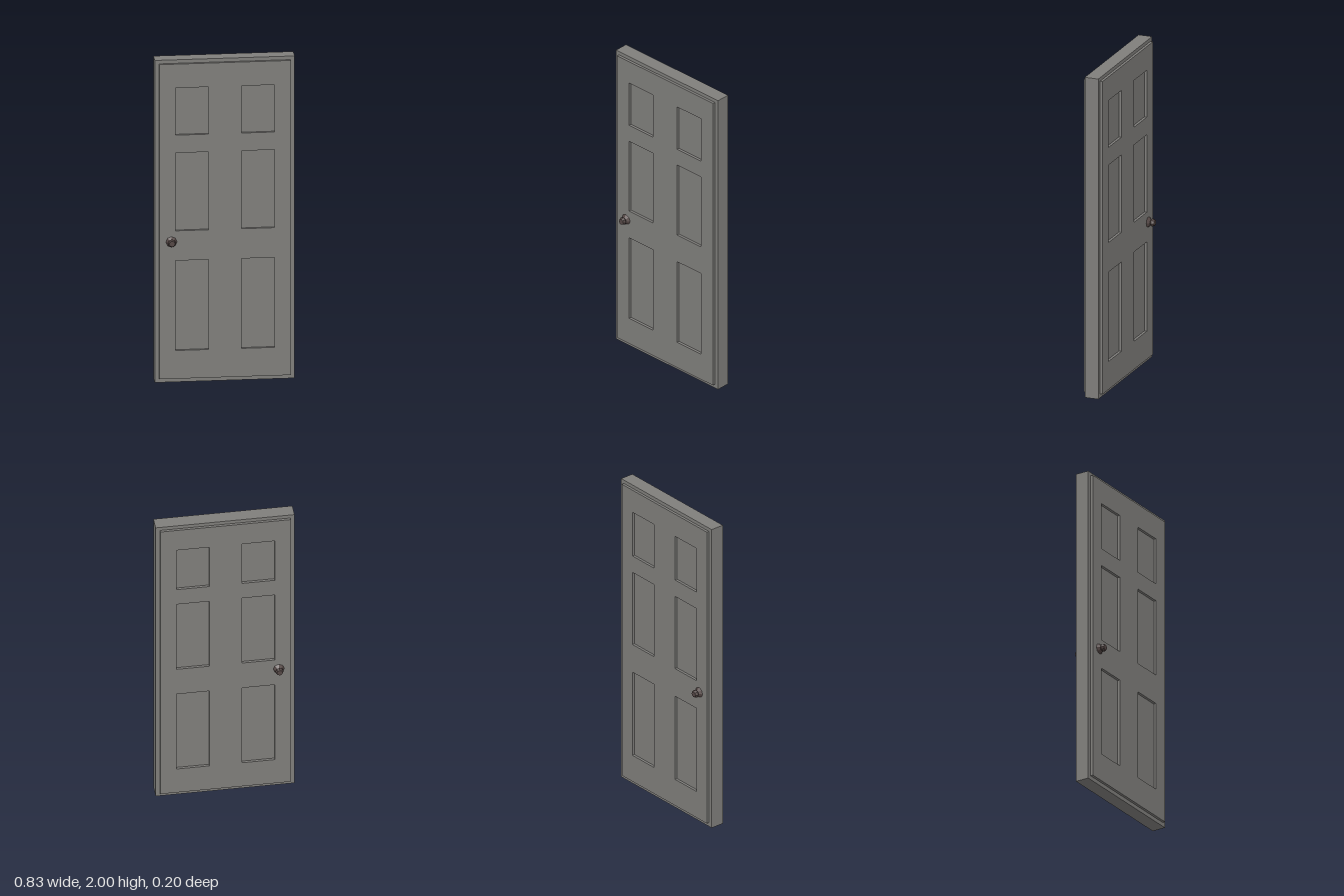
import * as THREE from 'three';

const SLAB_Z = 0.043; // half thickness of the slab
const FACE_Z = 0.059; // outer surface of the raised facing

export function createModel() {
  const door = new THREE.Group();
  door.name = 'panelDoor';

  const grey = new THREE.MeshStandardMaterial({ color: 0x7f7e7b });
  grey.name = 'grey paint';
  const bronze = new THREE.MeshStandardMaterial({ color: 0x54474a, flatShading: true });
  bronze.name = 'dark bronze';
  bronze.color.set(0x544745);

  const add = (parent, name, geometry, material) => {
    const mesh = new THREE.Mesh(geometry, material);
    mesh.name = name;
    parent.add(mesh);
    return mesh;
  };

  // Core slab; its surface is also the floor of the recessed panels
  add(door, 'slab', new THREE.BoxGeometry(0.83, 2, SLAB_Z * 2), grey).position.y = 1;

  // Raised facing with six panel openings
  const rectangle = (Type, x0, y0, x1, y1) => new Type([
    new THREE.Vector2(x0, y0), new THREE.Vector2(x1, y0),
    new THREE.Vector2(x1, y1), new THREE.Vector2(x0, y1),
  ]);
  const outline = rectangle(THREE.Shape, -0.39, 0.025, 0.39, 1.978);
  const rows = [[0.2, 0.758], [0.943, 1.427], [1.537, 1.83]];
  for (const [bottom, top] of rows) {
    for (const left of [-0.294, 0.097]) {
      outline.holes.push(rectangle(THREE.Path, left, bottom, left + 0.197, top));
    }
  }
  const facing = new THREE.ExtrudeGeometry(outline, { depth: FACE_Z - SLAB_Z, bevelEnabled: false });

  // Eight-sided knob, turned about its own axis
  const knobProfile = [
    [0.033, 0], [0.016, 0.016], [0.025, 0.026], [0.018, 0.042], [0, 0.042],
  ].map(([r, h]) => new THREE.Vector2(r, h));
  const knob = new THREE.LatheGeometry(knobProfile, 8).rotateX(Math.PI / 2);

  // The same facing and knob on both sides, knobs sharing one spindle line
  for (const [side, turn] of [['front', 0], ['back', Math.PI]]) {
    const half = new THREE.Group();
    half.name = side + 'Side';
    half.rotation.y = turn;
    add(half, side + 'Facing', facing, grey).position.z = SLAB_Z;
    add(half, side + 'Knob', knob, bronze).position.set(turn ? 0.318 : -0.318, 0.875, FACE_Z);
    door.add(half);
  }

  return door;
}
